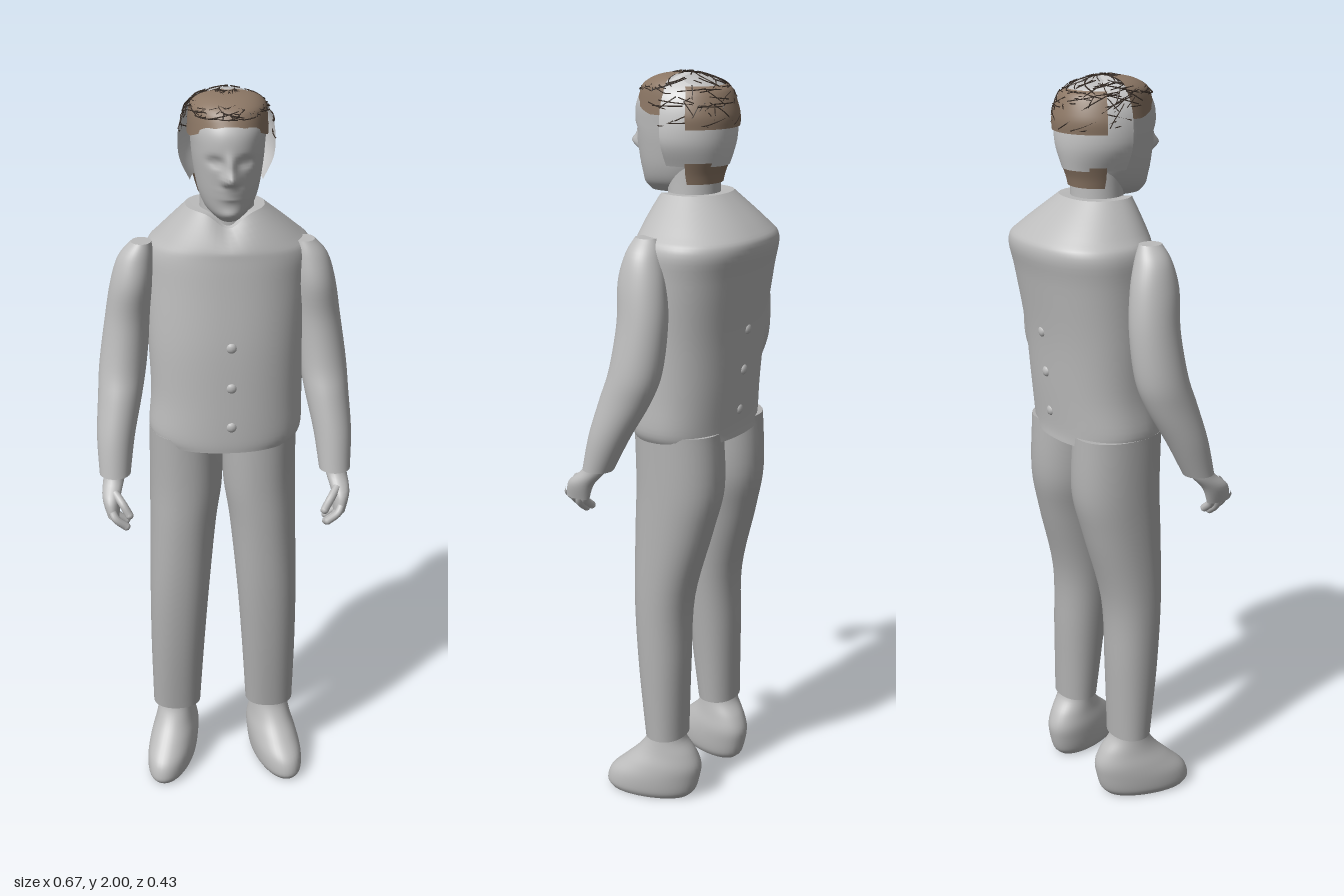
import * as THREE from 'three';
import { mergeGeometries } from 'three/addons/utils/BufferGeometryUtils.js';

const TAU = Math.PI * 2;
const gauss = (d, w) => Math.exp(-(d * d) / (w * w));

// Smoothly sampled section: rows are [y, centreX, halfWidth, zFront, zBack]
function sample(rows, t) {
  const n = rows.length - 1;
  const i = Math.min(Math.floor(t * n), n - 1), f = t * n - i;
  const at = k => rows[Math.max(0, Math.min(n, k))];
  return rows[0].map((_, c) => {
    const [a, b, d, e] = [at(i - 1)[c], at(i)[c], at(i + 1)[c], at(i + 2)[c]];
    return b + 0.5 * f * (d - a + f * (2 * a - 5 * b + 4 * d - e + f * (3 * (b - d) + e - a)));
  });
}

// Point on a rounded section; angle 0 faces the front
function pointOn([y, cx, rx, zf, zb], angle, power = 2, grow = 1) {
  const s = Math.sin(angle), c = Math.cos(angle), e = 2 / power;
  return new THREE.Vector3(
    cx + grow * rx * Math.sign(s) * Math.abs(s) ** e, y,
    (zf + zb) / 2 + grow * (zf - zb) / 2 * Math.sign(c) * Math.abs(c) ** e);
}

// Surface through stacked sections, closed and capped when it goes full circle
function loft(rows, { power = 2, segs = 40, steps = 5, from = 0, sweep = TAU, rule } = {}) {
  const full = sweep === TAU, cols = full ? segs : segs + 1;
  const rings = (rows.length - 1) * steps, pts = [], index = [];
  for (let i = 0; i <= rings; i++) {
    const row = sample(rows, i / rings);
    for (let j = 0; j < cols; j++) {
      const v = pointOn(row, from + sweep * j / segs, power);
      if (rule) rule(v);
      pts.push(v);
    }
  }
  for (let i = 0; i < rings; i++) for (let j = 0; j < segs; j++) {
    const a = i * cols + j, b = i * cols + (j + 1) % cols;
    index.push(a, b, a + cols, b, b + cols, a + cols);
  }
  if (full) for (const top of [false, true]) {
    const ring = pts.slice(top ? rings * cols : 0, top ? (rings + 1) * cols : cols);
    const base = pts.length, mid = new THREE.Vector3();
    ring.forEach(p => mid.addScaledVector(p, 1 / cols));
    pts.push(...ring, mid);
    for (let j = 0; j < cols; j++) {
      const a = base + j, b = base + (j + 1) % cols;
      index.push(base + cols, top ? a : b, top ? b : a);
    }
  }
  const g = new THREE.BufferGeometry().setFromPoints(pts);
  g.setIndex(index);
  g.computeVertexNormals();
  return g;
}

export function createModel() {
  const model = new THREE.Group();
  model.name = 'standingMan';
  const paint = (name, color, side = THREE.FrontSide) => {
    const m = new THREE.MeshStandardMaterial({ color, side });
    m.name = name;
    return m;
  };
  const grey = paint('bodyGrey', 0xbcbcbc);
  const trouserGrey = paint('trouserGrey', 0xb2b2b2);
  const lightGrey = paint('capGrey', 0xcccccc, THREE.DoubleSide);
  const brown = paint('hairBrown', 0x8c7765, THREE.DoubleSide);
  const dark = paint('strandDark', 0x3b312a);
  const add = (name, geometry, material, parent = model) => {
    const m = new THREE.Mesh(geometry, material);
    m.name = name;
    parent.add(m);
    return m;
  };

  // Padded vest with a dipped collar
  add('torso', loft([
    [1.065, 0.005, 0.19, 0.125, -0.155], [1.1, 0.006, 0.203, 0.127, -0.155],
    [1.2, 0.01, 0.2, 0.125, -0.165], [1.35, 0.01, 0.205, 0.12, -0.18],
    [1.5, 0.015, 0.211, 0.107, -0.205], [1.58, 0.018, 0.212, 0.1, -0.22],
    [1.62, 0.016, 0.18, 0.094, -0.195], [1.7, 0.006, 0.1, 0.065, -0.105],
  ], { power: 2.25, segs: 64, rule: v => {
    if (v.y > 1.6 && v.z > 0) v.y -= 0.4 * (v.y - 1.6) * gauss(v.x - 0.01, 0.04);
  } }), grey);
  for (const [y, front, back] of [[1.14, 0.124, -0.156], [1.25, 0.121, -0.168], [1.36, 0.117, -0.179]])
    for (const z of [front, back]) {
      const stud = add('vestStud', new THREE.SphereGeometry(0.014, 12, 8), grey);
      stud.position.set(0.015, y, z);
      stud.scale.set(1, 1, 0.6);
    }
  add('neck', loft([
    [1.58, 0.01, 0.085, 0.06, -0.09], [1.68, 0.01, 0.07, 0.055, -0.08],
    [1.8, 0.01, 0.068, 0.06, -0.08],
  ]), grey);

  // Head with modelled face
  add('head', loft([
    [1.695, 0.01, 0.03, 0.115, 0], [1.72, 0.01, 0.058, 0.13, -0.05],
    [1.76, 0.01, 0.075, 0.138, -0.075], [1.82, 0.01, 0.086, 0.147, -0.1],
    [1.87, 0.01, 0.091, 0.153, -0.112], [1.92, 0.01, 0.093, 0.146, -0.112],
    [1.96, 0.01, 0.08, 0.115, -0.095], [1.982, 0.01, 0.05, 0.065, -0.06],
    [1.99, 0.01, 0.01, 0.01, -0.01],
  ], { power: 2.15, segs: 96, steps: 7, rule: v => {
    if (v.z < 0.04) return;
    const x = v.x - 0.01, y = v.y;
    v.z += 0.032 * gauss(x, 0.014) * gauss(y - 1.812, 0.016)
      + 0.014 * gauss(x, 0.011) * gauss(y - 1.84, 0.025)
      + 0.01 * gauss(Math.abs(x) - 0.014, 0.01) * gauss(y - 1.805, 0.01)
      - 0.014 * gauss(Math.abs(x) - 0.036, 0.018) * gauss(y - 1.85, 0.012)
      + 0.006 * gauss(Math.abs(x) - 0.036, 0.01) * gauss(y - 1.85, 0.006)
      + 0.009 * gauss(x, 0.026) * gauss(y - 1.768, 0.013)
      - 0.007 * gauss(x, 0.026) * gauss(y - 1.767, 0.004)
      + 0.008 * gauss(x, 0.026) * gauss(y - 1.715, 0.014);
  } }), grey);

  // Rear cap with a straight front edge
  add('rearCap', loft([
    [1.77, 0.008, 0.09, 0.135, -0.105], [1.83, 0.008, 0.117, 0.15, -0.12],
    [1.9, 0.008, 0.118, 0.152, -0.122], [1.95, 0.008, 0.1, 0.135, -0.105],
    [1.98, 0.008, 0.06, 0.09, -0.06], [1.992, 0.008, 0.008, 0.02, 0.01],
  ], { from: Math.PI / 2, sweep: Math.PI }), lightGrey);

  // Hair patches: front, upper back and nape
  add('frontHair', loft([
    [1.935, 0.01, 0.1, 0.14, -0.112], [1.965, 0.01, 0.092, 0.122, -0.09],
    [1.986, 0.01, 0.064, 0.082, -0.05], [1.995, 0.01, 0.012, 0.025, 0],
  ], { power: 2.15, from: -Math.PI / 2, sweep: Math.PI, rule: v => {
    if (v.y < 1.96) v.y -= 1.6 * (1.96 - v.y) * Math.min(1, ((v.x - 0.01) / 0.095) ** 2);
  } }), brown);
  add('backHair', loft([
    [1.865, 0.008, 0.123, 0.155, -0.127], [1.9, 0.008, 0.123, 0.157, -0.127],
    [1.95, 0.008, 0.105, 0.14, -0.11], [1.966, 0.008, 0.09, 0.12, -0.09],
  ], { from: TAU * 0.33, sweep: TAU * 0.34 }), brown);
  add('napeHair', loft([
    [1.725, 0.01, 0.074, 0.06, -0.086], [1.75, 0.01, 0.082, 0.07, -0.092],
    [1.78, 0.01, 0.092, 0.08, -0.104],
  ], { from: TAU * 0.3, sweep: TAU * 0.4 }), brown);

  // Loose dark strands criss-crossing over the scalp
  let seed = 7;
  const rnd = () => (seed = (seed * 16807) % 2147483647) / 2147483647;
  const scalp = [
    [1.86, 0.009, 0.118, 0.148, -0.126], [1.91, 0.009, 0.115, 0.146, -0.125],
    [1.95, 0.009, 0.103, 0.134, -0.111], [1.977, 0.009, 0.076, 0.1, -0.076],
    [1.996, 0.009, 0.015, 0.03, -0.015],
  ];
  const strands = [];
  for (let k = 0; k < 190; k++) {
    const angle = rnd() * TAU, low = Math.cos(angle) > 0.1 ? 0.5 : 0.08;
    const t = low + (0.9 - low) * rnd(), turn = (rnd() - 0.5) * 1.5, rise = (rnd() - 0.4) * 0.5;
    const path = [0, 0.33, 0.66, 1].map(f => pointOn(
      sample(scalp, Math.max(low, Math.min(0.98, t + rise * f))), angle + turn * f, 2, 0.98 + 0.05 * rnd()));
    strands.push(new THREE.TubeGeometry(new THREE.CatmullRomCurve3(path), 7, 0.0014, 4));
  }
  add('hairStrands', mergeGeometries(strands), dark);

  // Limbs, one set per side
  for (const s of [-1, 1]) {
    const side = s > 0 ? 'left' : 'right';
    const mirror = rows => rows.map(([y, x, ...rest]) => [y, x * s, ...rest]);

    add(side + 'Leg', loft(mirror([
      [0.19, 0.135, 0.068, 0.05, -0.06], [0.4, 0.13, 0.076, 0.075, -0.064],
      [0.6, 0.122, 0.083, 0.09, -0.07], [0.8, 0.11, 0.091, 0.095, -0.122],
      [0.93, 0.1, 0.099, 0.096, -0.15], [1.09, 0.1, 0.097, 0.1, -0.145],
    ]), { power: 2.15 }), trouserGrey);

    const foot = add(side + 'Foot', loft([
      [0, 0, 0.052, 0.16, -0.07], [0.02, 0, 0.062, 0.172, -0.088],
      [0.06, 0, 0.066, 0.16, -0.1], [0.1, 0, 0.064, 0.118, -0.104],
      [0.14, 0, 0.056, 0.076, -0.088], [0.18, 0, 0.05, 0.05, -0.06],
      [0.22, 0, 0.047, 0.042, -0.052],
    ], { power: 2.1 }), grey);
    foot.position.x = 0.14 * s;
    foot.rotation.y = 0.3 * s;

    add(side + 'Arm', loft(mirror([
      [1.005, 0.291, 0.041, 0.143, 0.06], [1.1, 0.286, 0.05, 0.123, 0.01],
      [1.2, 0.272, 0.058, 0.095, -0.045], [1.28, 0.262, 0.062, 0.07, -0.072],
      [1.4, 0.247, 0.059, 0.055, -0.08], [1.5, 0.234, 0.055, 0.06, -0.07],
      [1.57, 0.222, 0.045, 0.046, -0.05], [1.61, 0.207, 0.026, 0.03, -0.03],
    ])), grey);

    // Relaxed hand with curled fingers
    const hand = new THREE.Group();
    hand.name = side + 'Hand';
    model.add(hand);
    add('palm', loft(mirror([
      [0.915, 0.298, 0.016, 0.2, 0.13], [0.96, 0.302, 0.024, 0.188, 0.112],
      [1.0, 0.294, 0.028, 0.145, 0.08], [1.04, 0.29, 0.028, 0.13, 0.075],
    ]), { segs: 24 }), grey, hand);
    const finger = (name, points, r) => {
      const path = points.map(([x, y, z]) => new THREE.Vector3(x * s, y, z));
      add(name, new THREE.TubeGeometry(new THREE.CatmullRomCurve3(path), 10, r, 10), grey, hand);
      add(name + 'Tip', new THREE.SphereGeometry(r, 10, 8), grey, hand).position.copy(path.at(-1));
    };
    for (let i = 0; i < 4; i++) {
      const z = 0.138 + 0.018 * i, y = 0.01 * Math.abs(i - 1);
      finger('finger', [[0.3, 0.935, z], [0.291, 0.9 + y, z + 0.01], [0.265, 0.876 + y, z + 0.008]], 0.0105);
    }
    finger('thumb', [[0.292, 0.975, 0.16], [0.272, 0.955, 0.188], [0.256, 0.928, 0.198]], 0.011);
  }
  return model;
}
